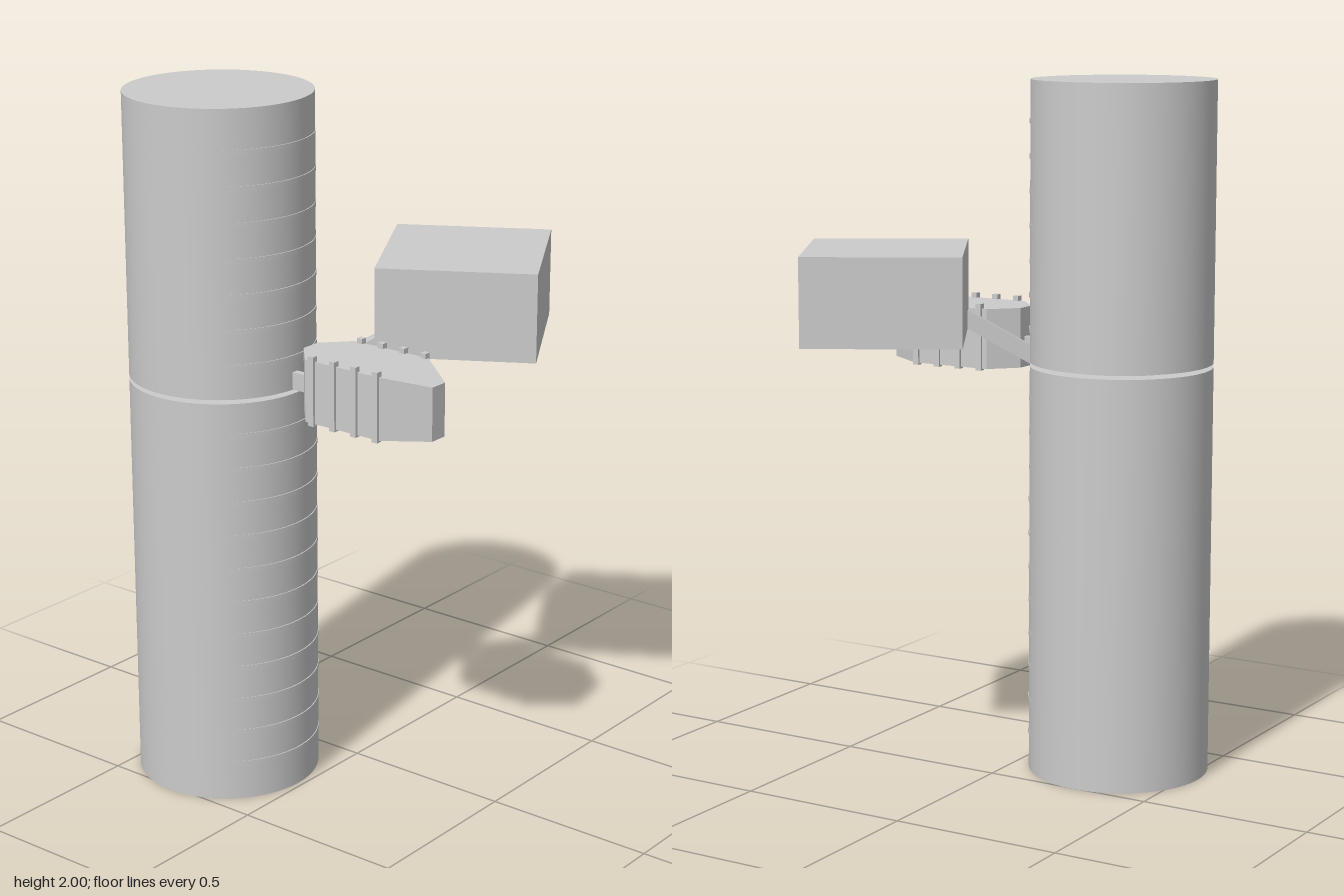
import * as THREE from 'three';

const material = new THREE.MeshStandardMaterial({ color: 0xcccccc });
const flat = new THREE.MeshStandardMaterial({ color: 0xcccccc, flatShading: true });
const CX = -0.277, CZ = 0.256, R = 0.262;

export function createModel() {
  const model = new THREE.Group();

  function add(parent, name, geometry, x = 0, y = 0, z = 0, mat = flat) {
    const mesh = new THREE.Mesh(geometry, mat);
    mesh.name = name;
    mesh.position.set(x, y, z);
    parent.add(mesh);
    return mesh;
  }

  // Upright disc or column between two heights
  function column(name, r, y0, y1, x = CX) {
    return add(model, name, new THREE.CylinderGeometry(r, r, y1 - y0, 96), x, (y0 + y1) / 2, CZ, material);
  }

  // Bar of rectangular section between two points
  function bar(name, a, b, w, h) {
    const from = new THREE.Vector3(...a), to = new THREE.Vector3(...b);
    const mesh = add(model, name, new THREE.BoxGeometry(w, h, from.distanceTo(to)));
    mesh.position.copy(from).add(to).multiplyScalar(0.5);
    mesh.lookAt(to);
    return mesh;
  }

  // Prism from an outline of [x, z] points, standing on the pod floor
  function prism(points, height) {
    const shape = new THREE.Shape(points.map(([x, z]) => new THREE.Vector2(x, -z)));
    const geometry = new THREE.ExtrudeGeometry(shape, { depth: height, bevelEnabled: false });
    return geometry.rotateX(-Math.PI / 2);
  }

  // Two stacked columns joined by a narrow neck
  column('lowerColumn', R, 0, 1.188);
  column('columnNeck', 0.195, 1.18, 1.21);
  column('upperColumn', R, 1.2, 2);

  // Shallow ribs that emerge only on the column's +x side
  for (let i = 0; i < 19; i++) {
    const y = 0.11 + i * 0.0985;
    if (Math.abs(y - 1.194) > 0.02) column('columnRib', 0.255, y - 0.007, y + 0.007, CX + 0.0105);
  }

  // Turned square cabin on its sloping strut
  const cabin = add(model, 'cabin', new THREE.BoxGeometry(0.443, 0.25, 0.48), 0.222, 1.415, -0.203);
  cabin.rotation.y = Math.PI / 6;
  bar('cabinStrut', [-0.05, 1.19, 0.2], [0.16, 1.335, 0.058], 0.05, 0.045);

  // Faceted pod with a tapering nose and a short arm
  const pod = new THREE.Group();
  pod.name = 'pod';
  model.add(pod);
  const body = [[0.04, 0.285], [0.11, 0.365], [0.36, 0.365], [0.36, 0.15], [0.11, 0.15], [0.04, 0.225]];
  add(pod, 'podBody', prism(body, 0.175), 0, 1.16, 0);
  const nose = prism([[0.36, 0.365], [0.475, 0.285], [0.475, 0.23], [0.36, 0.15]], 0.175);
  const p = nose.attributes.position;
  for (let i = 0; i < p.count; i++) {
    if (p.getX(i) > 0.4 && p.getY(i) > 0.1) p.setY(i, 0.15);
  }
  add(pod, 'podNose', nose, 0, 1.16, 0);
  bar('podArm', [-0.05, 1.225, 0.256], [0.06, 1.225, 0.256], 0.02, 0.05);

  // Thin posts along both sides of the pod
  for (const z of [0.153, 0.364]) {
    for (const x of [0.135, 0.207, 0.279, 0.351]) {
      add(pod, 'podPost', new THREE.BoxGeometry(0.018, 0.195, 0.018), x, 1.252, z);
    }
  }
  return model;
}
